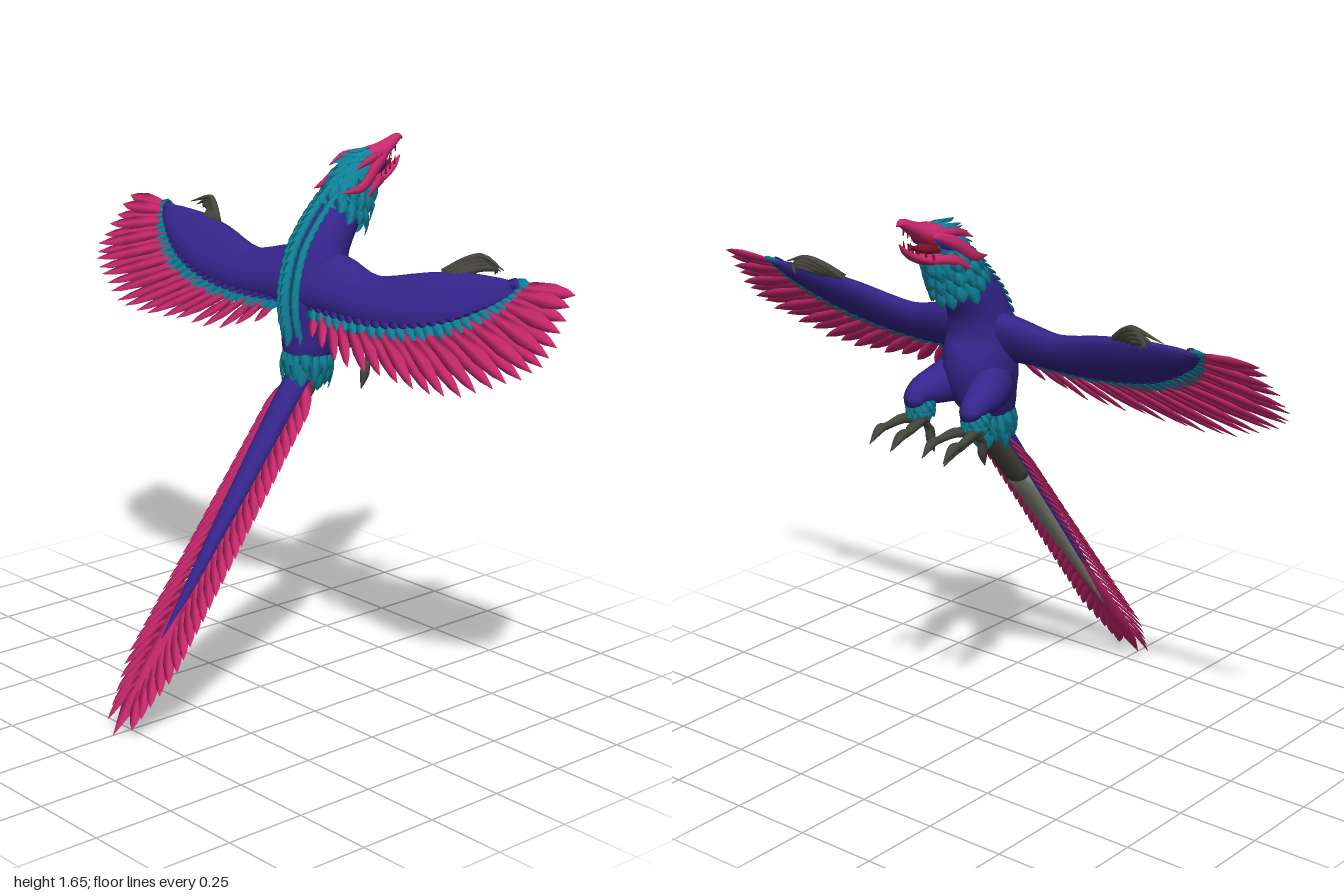
import * as THREE from 'three';
import { mergeGeometries } from 'three/addons/utils/BufferGeometryUtils.js';

const V = (x, y, z = 0) => new THREE.Vector3(x, y, z);
const mat = (name, color) => Object.assign(new THREE.MeshStandardMaterial({ color }), { name });

// Elliptical loft through points [x, y, z, halfWidth, halfHeight]; ref points along the height
function loft(points, ref, sides = 12, sub = 4) {
  const curve = new THREE.CatmullRomCurve3(points.map(p => V(p[0], p[1], p[2])));
  const sizes = new THREE.CatmullRomCurve3(points.map(p => V(p[3], p[4], 0)));
  const rings = (points.length - 1) * sub, pos = [], idx = [];
  for (let i = 0; i <= rings; i++) {
    const k = i / rings, c = curve.getPoint(k), t = curve.getTangent(k), r = sizes.getPoint(k);
    const side = t.clone().cross(ref).normalize(), up = t.clone().cross(side);
    for (let j = 0; j < sides; j++) {
      const a = j / sides * Math.PI * 2;
      const p = c.clone().addScaledVector(side, Math.cos(a) * Math.max(r.x, 0.0008))
        .addScaledVector(up, Math.sin(a) * Math.max(r.y, 0.0008));
      pos.push(p.x, p.y, p.z);
    }
  }
  for (let i = 0; i < rings; i++) for (let j = 0; j < sides; j++) {
    const a = i * sides + j, b = i * sides + (j + 1) % sides;
    idx.push(a, b, a + sides, b, b + sides, a + sides);
  }
  const last = rings * sides;
  for (let j = 1; j < sides - 1; j++) idx.push(0, j + 1, j, last, last + j, last + j + 1);
  const g = new THREE.BufferGeometry();
  g.setAttribute('position', new THREE.Float32BufferAttribute(pos, 3));
  g.setIndex(idx);
  g.computeVertexNormals();
  return g;
}

// Pointed feather with a raised midrib
function feather(base, tip, w, normal, bow = 0) {
  const pts = [[0, 0.4], [0.3, 0.85], [0.6, 1], [0.85, 0.6], [1, 0.02]].map(([t, k]) => {
    const p = base.clone().lerp(tip, t).addScaledVector(normal, bow * Math.sin(t * Math.PI));
    return [p.x, p.y, p.z, w * k, w * k * 0.2];
  });
  return loft(pts, normal, 4, 1);
}

// Ring of feathers around an axis, flaring from r0 to r1 (v squashes across z)
function ruff(c, axis, r0, r1, len, w, count, turn = 0) {
  const out = [], a = axis.clone().normalize(), z = V(0, 0, 1), x = a.clone().cross(z).normalize();
  for (let i = 0; i < count; i++) {
    const q = (i + turn) / count * Math.PI * 2;
    const n = x.clone().multiplyScalar(Math.cos(q)).addScaledVector(z, Math.sin(q));
    const l = len * (0.85 + 0.15 * Math.sin(i * 2.4));
    out.push(feather(c.clone().addScaledVector(n, r0), c.clone().addScaledVector(n, r1).addScaledVector(a, l), w, n, 0.008));
  }
  return out;
}

export function createModel() {
  const root = new THREE.Group();
  const purple = mat('purple plumage', 0x35258c), teal = mat('teal plumage', 0x0f8299);
  const pink = mat('pink plumage', 0xc9286c), dark = mat('dark claw', 0x47463e);
  const grey = mat('pale tail underside', 0x82827a), red = mat('mouth red', 0x7c1028);
  const add = (name, geos, material) => {
    const m = new THREE.Mesh(mergeGeometries([].concat(geos)), material);
    m.name = name;
    root.add(m);
  };
  const back = V(-0.8, 0.6), up = V(0, 1, 0);

  // Body and neck
  add('body', loft([[0.165, 0.98, 0, 0.05, 0.05], [0.185, 1.06, 0, 0.08, 0.08], [0.21, 1.13, 0, 0.1, 0.105],
    [0.22, 1.2, 0, 0.105, 0.115], [0.215, 1.28, 0, 0.1, 0.098], [0.235, 1.36, 0, 0.09, 0.085],
    [0.285, 1.435, 0, 0.08, 0.075], [0.33, 1.49, 0, 0.07, 0.066]], back, 20), purple);
  add('neck', loft([[0.305, 1.46, 0, 0.074, 0.07], [0.34, 1.51, 0, 0.07, 0.068], [0.37, 1.56, 0, 0.062, 0.06],
    [0.42, 1.6, 0, 0.045, 0.038], [0.44, 1.61, 0, 0.02, 0.02]], back, 16), teal);
  const neckFeathers = [];
  [[0.335, 1.49, 0.07], [0.36, 1.53, 0.066], [0.385, 1.565, 0.055]].forEach(([x, y, r], i) =>
    neckFeathers.push(...ruff(V(x, y), V(-0.45, -0.9), r * 0.9, r + 0.02, 0.085, 0.021, 16, i / 2)));
  add('neckRuff', neckFeathers, teal);
  add('hipRuff', [0, 1].flatMap(i => ruff(V(0.19, 1.065 - i * 0.025), V(-0.12, -1), 0.066, 0.074 - i * 0.006, 0.105, 0.022, 16, i / 2)), teal);

  // Feather crest along the spine
  const spine = new THREE.CatmullRomCurve3([V(0.44, 1.632), V(0.37, 1.61), V(0.3, 1.545), V(0.215, 1.46),
    V(0.155, 1.38), V(0.12, 1.29), V(0.11, 1.21), V(0.12, 1.12)]);
  const crest = [];
  for (let i = 0; i < 22; i++) {
    const p = spine.getPointAt(i / 22), t = spine.getTangentAt(i / 22), n = V(t.y, -t.x);
    for (const s of [-1, 0, 1]) {
      const b = p.clone().addScaledVector(n, s ? -0.008 : 0).setZ(s * 0.024);
      crest.push(feather(b, b.clone().addScaledVector(t, 0.075).addScaledVector(n, s ? 0.016 : 0.026).setZ(s * 0.034), 0.018, n));
    }
  }
  add('spineCrest', crest, teal);

  // Head
  add('upperBeak', loft([[0.385, 1.582, 0, 0.056, 0.036], [0.43, 1.603, 0, 0.05, 0.034], [0.47, 1.618, 0, 0.036, 0.026],
    [0.51, 1.638, 0, 0.024, 0.018], [0.545, 1.655, 0, 0.014, 0.012], [0.564, 1.65, 0, 0.002, 0.002]], up, 12), pink);
  add('lowerBeak', loft([[0.38, 1.545, 0, 0.05, 0.025], [0.44, 1.536, 0, 0.036, 0.017], [0.49, 1.548, 0, 0.024, 0.012],
    [0.53, 1.572, 0, 0.014, 0.008], [0.555, 1.598, 0, 0.002, 0.002]], up, 12), pink);
  add('tongue', loft([[0.39, 1.565, 0, 0.045, 0.026], [0.44, 1.568, 0, 0.032, 0.018], [0.49, 1.574, 0, 0.014, 0.007],
    [0.52, 1.592, 0, 0.004, 0.002]], up, 8), red);
  const horns = [], eyes = [], teeth = [];
  for (const s of [-1, 1]) {
    horns.push(loft([[0.46, 1.61, s * 0.036, 0.01, 0.012], [0.4, 1.585, s * 0.06, 0.012, 0.02], [0.33, 1.535, s * 0.076, 0.008, 0.016],
      [0.262, 1.522, s * 0.062, 0.001, 0.001]], up, 6));
    horns.push(loft([[0.45, 1.54, s * 0.034, 0.008, 0.012], [0.4, 1.535, s * 0.062, 0.009, 0.016], [0.345, 1.5, s * 0.08, 0.001, 0.001]], up, 6));
    horns.push(loft([[0.44, 1.615, s * 0.04, 0.008, 0.012], [0.38, 1.61, s * 0.056, 0.008, 0.013], [0.32, 1.585, s * 0.06, 0.001, 0.001]], up, 6));
    eyes.push(feather(V(0.395, 1.565, s * 0.06), V(0.46, 1.6, s * 0.045), 0.014, V(0, 0, s)));
    for (let i = 0; i < 4; i++) {
      const x = 0.45 + i * 0.024, z = s * (0.03 - i * 0.006);
      teeth.push(loft([[x, 1.6 + i * 0.011, z, 0.004, 0.004], [x + 0.004, 1.576 + i * 0.013, z, 0.001, 0.001]], V(1, 0, 0), 5, 1));
      teeth.push(loft([[x, 1.54 + i * 0.012, z, 0.004, 0.004], [x + 0.002, 1.564 + i * 0.012, z, 0.001, 0.001]], V(1, 0, 0), 5, 1));
    }
  }
  add('headHorns', horns, pink);
  add('eyePatches', eyes, purple);
  add('teeth', teeth, red);

  // Wings lie in one tilted plane, placed by span and height
  const W = (s, z, y, lift = 0) => V(0.265 + (y - 1.37) * 0.75, y, s * z).addScaledVector(back, lift);
  const line = pts => new THREE.CatmullRomCurve3(pts.map(([z, y]) => V(z, y)));
  const trail = line([[0.08, 1.2], [0.25, 1.195], [0.42, 1.21], [0.58, 1.25], [0.7, 1.31], [0.77, 1.365]]);
  const tealTips = line([[0.1, 1.165], [0.28, 1.16], [0.48, 1.175], [0.64, 1.215], [0.76, 1.29], [0.81, 1.37]]);
  const pinkTips = line([[0.13, 1.13], [0.29, 1.085], [0.45, 1.085], [0.62, 1.075], [0.76, 1.085], [0.87, 1.13],
    [0.96, 1.175], [0.998, 1.225], [0.99, 1.3], [0.975, 1.375]]);
  for (const s of [1, -1]) {
    const side = s > 0 ? 'left' : 'right';
    const arm = [[0, 1.35, 1.19, 0.06], [0.1, 1.345, 1.195, 0.05], [0.27, 1.315, 1.195, 0.036], [0.46, 1.352, 1.212, 0.032],
      [0.6, 1.373, 1.25, 0.025], [0.72, 1.378, 1.31, 0.016], [0.785, 1.376, 1.36, 0.004]];
    add(side + 'WingArm', loft(arm.map(([z, a, b, h]) => [...W(s, z, (a + b) / 2).toArray(), (a - b) * 0.63, h]), back, 14), purple);
    const coverts = [], band = [], flight = [];
    for (let i = 0; i < 26; i++) {
      const k = i / 25, a = trail.getPoint(k), b = tealTips.getPoint(k);
      const root0 = V(a.x - 0.03, a.y + 0.03 * (1 - k));
      for (const l of [-1, 1]) {
        const m = a.clone().lerp(b, 0.3);
        coverts.push(feather(W(s, root0.x, root0.y, l * 0.009), W(s, m.x, m.y, l * 0.007), 0.019, back));
      }
      band.push(feather(W(s, root0.x, root0.y), W(s, b.x + 0.008, b.y), 0.024, back));
    }
    for (let i = 0; i < 23; i++) {
      const k = i / 22, a = trail.getPoint(k), b = pinkTips.getPoint(k);
      flight.push(feather(W(s, a.x, a.y), W(s, b.x, b.y, (i % 2) * 0.006 - 0.003), 0.017 + 0.008 * k, back));
    }
    add(side + 'WingCoverts', coverts, purple);
    add(side + 'WingBand', band, teal);
    add(side + 'FlightFeathers', flight, pink);

    // Wing claws
    add(side + 'WingClaws', [0, 1, 2, 3].map(i => loft([[0.25, 1.36, s * (0.5 + i * 0.02), 0.012, 0.012],
      [0.282 + i * 0.004, 1.398 - i * 0.006, s * (0.555 + i * 0.012), 0.012, 0.011],
      [0.302 + i * 0.004, 1.415 - i * 0.01, s * (0.6 + i * 0.014), 0.009, 0.009],
      [0.295 + i * 0.009, 1.39 - i * 0.008, s * (0.69 - i * 0.02), 0.001, 0.001]], V(1, 0, 0), 7)), dark);

    // Leg and foot
    add(side + 'Thigh', loft([[0.22, 1.15, s * 0.05, 0.06, 0.085], [0.3, 1.13, s * 0.085, 0.055, 0.06],
      [0.36, 1.118, s * 0.102, 0.042, 0.042], [0.388, 1.1, s * 0.104, 0.034, 0.032], [0.37, 1.06, s * 0.104, 0.024, 0.024]], V(0.4, 1, 0), 14), purple);
    add(side + 'LegCuff', [0, 1].flatMap(i => ruff(V(0.372, 1.1 - i * 0.015, s * 0.103), V(-0.3, -1), 0.03, 0.038, 0.05, 0.014, 12, i / 2)), teal);
    const foot = [loft([[0.37, 1.08, s * 0.104, 0.02, 0.02], [0.35, 1.045, s * 0.102, 0.018, 0.018], [0.355, 1.015, s * 0.1, 0.016, 0.014]], V(1, 0, 0), 8),
      loft([[0.36, 1.03, s * 0.1, 0.014, 0.014], [0.335, 1.0, s * 0.098, 0.014, 0.014], [0.33, 0.97, s * 0.097, 0.016, 0.013],
        [0.318, 0.925, s * 0.095, 0.001, 0.001]], V(0, 0, 1), 7)];
    [[0.055, 0.54, 1.01], [0.1, 0.5, 0.985], [0.136, 0.545, 1.012]].forEach(([z, x, y]) => foot.push(
      loft([[0.35, 1.03, s * 0.1, 0.014, 0.014], [0.41, y + 0.033, s * (0.1 + (z - 0.1) * 0.7), 0.014, 0.015], [x - 0.075, y + 0.023, s * z, 0.01, 0.011],
        [x - 0.045, y + 0.022, s * z, 0.015, 0.014], [x, y - 0.012, s * z, 0.001, 0.001]], up, 7)));
    add(side + 'Foot', foot, dark);
  }

  // Tail
  const T = (k, z = 0, lift = 0) => V(0.165 - 0.732 * k, 0.97 - 0.957 * k, z).addScaledVector(V(-0.794, 0.607), lift);
  const n = V(-0.794, 0.607);
  const rod = (lift, list) => loft(list.map(([k, w, h]) => [...T(k, 0, lift * (1 - k)).toArray(), w, h]), n, 12);
  add('tailTop', rod(0.014, [[-0.06, 0.046, 0.035], [0.15, 0.042, 0.032], [0.4, 0.031, 0.023], [0.6, 0.018, 0.014], [0.77, 0.001, 0.004]]), purple);
  add('tailRootUnderside', rod(-0.02, [[-0.06, 0.046, 0.03], [0.06, 0.046, 0.029], [0.16, 0.043, 0.027]]), dark);
  add('tailUnderside', rod(-0.02, [[0.15, 0.041, 0.027], [0.4, 0.028, 0.02], [0.6, 0.015, 0.013], [0.78, 0.001, 0.004]]), grey);
  const tail = [feather(T(0.5), T(1), 0.05, n)];
  for (let i = 0; i < 26; i++) for (const s of [-1, 1]) {
    const k = 0.01 + i / 25 * 0.86, spread = Math.min(0.098 + 0.022 * k, (1.0 - k) * 0.35 + 0.012);
    tail.push(feather(T(k - 0.02, s * 0.015), T(Math.min(k + 0.1, 0.985), s * spread, -0.004), 0.021, V(-0.794, 0.607, s * 0.25).normalize(), 0.006));
  }
  add('tailFeathers', tail, pink);
  return root;
}
